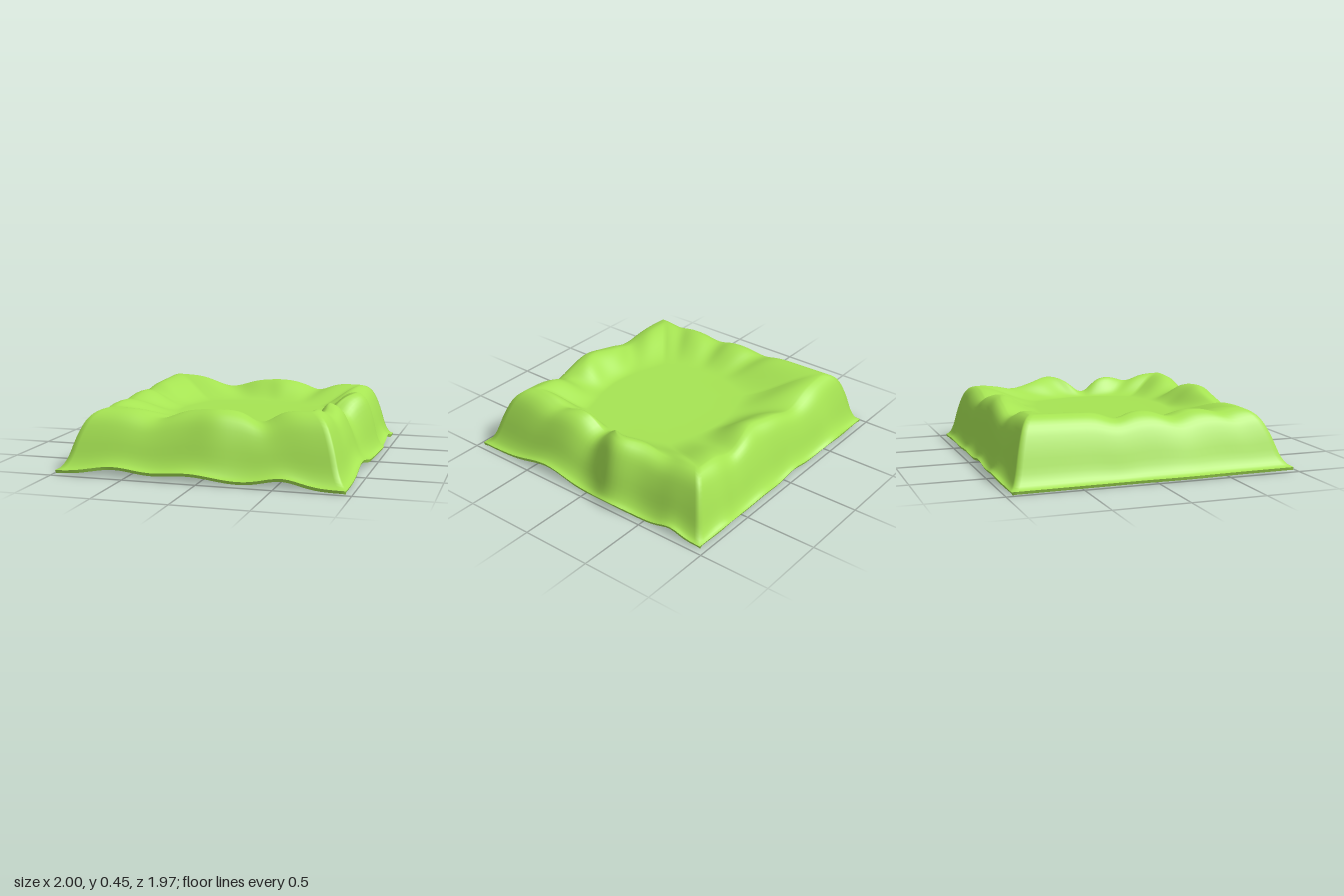
import * as THREE from 'three';

const THICK = 0.022, FLOOR = 0.31, SEGS = 48;
const v = (x, y, z) => new THREE.Vector3(x, y, z);

// Corners, anticlockwise seen from above: front left, front right, back right, back left
const corners = {
  hem: [v(-.98, .03, .97), v(.96, .022, .97), v(.955, .022, -.96), v(-.98, .022, -.96)],
  rim: [v(-.72, .41, .67), v(.69, .452, .67), v(.73, .415, -.77), v(-.72, .445, -.76)],
  floor: [v(-.32, FLOOR, .36), v(.5, FLOOR, .36), v(.5, FLOOR, -.36), v(-.32, FLOOR, -.36)],
};

// Swells and dips along each side: [position 0..1, rise, push outwards, width]
const hemWaves = [
  [[.2, .045, -.015, .12], [.47, .04, .012, .12], [.79, .045, -.02, .09]], // front
  [[.31, .058, -.005, .12], [.62, .038, .042, .08], [.88, .045, 0, .06]], // right
  [[.13, .025, .02, .06], [.36, .018, .01, .06], [.55, .023, 0, .06], [.8, .038, .03, .09]], // back
  [[.6, .003, .02, .12]], // left
];
const rimWaves = [
  [[.27, -.06, .03, .1], [.55, .012, .05, .09], [.76, -.075, .03, .08]],
  [[.18, -.045, .01, .07], [.437, -.098, -.02, .07], [.6, .018, .09, .08], [.82, -.04, 0, .1]],
  [[.22, -.055, 0, .08], [.41, .01, -.03, .07], [.7, -.07, .01, .12]],
  [[.38, -.04, .03, .07], [.65, -.04, .02, .07], [.9, -.03, .01, .06]],
];
const floorWaves = [[.5, 0, .1, .4]];
const outward = [v(0, 0, 1), v(1, 0, 0), v(0, 0, -1), v(-1, 0, 0)];

// A point on one side of an edge loop, with its waves fading out at the corners
function edgePoint(loop, side, t, waves) {
  const p = loop[side].clone().lerp(loop[(side + 1) % 4], t);
  const fade = 1 - (2 * t - 1) ** 6;
  for (const [at, rise, push, width] of waves) {
    const k = fade * Math.exp(-(((t - at) / width) ** 2));
    p.y += rise * k;
    p.addScaledVector(outward[side], push * k);
  }
  return p;
}

// Section of the wall: how far in (x) and how far up (y) from hem to rim
const wall = new THREE.SplineCurve([[0, 0], [.12, .05], [.25, .21], [.4, .53], [.58, .81], [.78, .95], [1, 1]]
  .map(([x, y]) => new THREE.Vector2(x, y))).getPoints(18);

// One radial column of points: hem, wall, rim, inner slope, flat middle
function column(side, t) {
  const hem = edgePoint(corners.hem, side, t, hemWaves[side]);
  const rim = edgePoint(corners.rim, side, t, rimWaves[side]);
  const floor = edgePoint(corners.floor, side, t, floorWaves);
  const points = wall.map(({ x, y }) => {
    const p = hem.clone().lerp(rim, x);
    p.y = THREE.MathUtils.lerp(hem.y, rim.y, y);
    return p;
  });
  for (let i = 1; i <= 12; i++) {
    const p = rim.clone().lerp(floor, i / 12);
    p.y = THREE.MathUtils.lerp(rim.y, FLOOR, THREE.MathUtils.smoothstep(i / 12, 0, 1));
    points.push(p);
  }
  const middle = v(.06, FLOOR, .015);
  for (const f of [.35, .7, 1]) points.push(floor.clone().lerp(middle, f));
  return points;
}

// Joins a closed ring of columns into a smooth surface
function skin(columns, flip = false) {
  const n = columns.length, m = columns[0].length, index = [];
  for (let i = 0; i < n; i++) {
    for (let j = 0; j < m - 1; j++) {
      const a = i * m + j, b = ((i + 1) % n) * m + j;
      if (flip) index.push(a, a + 1, b, b, a + 1, b + 1);
      else index.push(a, b, a + 1, b, b + 1, a + 1);
    }
  }
  const geometry = new THREE.BufferGeometry().setFromPoints(columns.flat());
  geometry.setIndex(index);
  geometry.computeVertexNormals();
  return geometry;
}

export function createModel() {
  const group = new THREE.Group();
  group.name = 'grassMound';
  const material = new THREE.MeshStandardMaterial({ color: 0xa6e453 });
  const add = (name, geometry) => {
    const mesh = new THREE.Mesh(geometry, material);
    mesh.name = name;
    group.add(mesh);
  };

  const top = [];
  for (let side = 0; side < 4; side++) {
    for (let i = 0; i < SEGS; i++) top.push(column(side, i / SEGS));
  }
  const topGeometry = skin(top);
  add('grassTop', topGeometry);

  // Underside: the top moved inwards along its normals
  const normals = topGeometry.attributes.normal, m = top[0].length;
  const under = top.map((points, i) => points.map((p, j) => {
    const normal = v(0, 0, 0).fromBufferAttribute(normals, i * m + j);
    const q = p.clone().addScaledVector(normal, -THICK);
    q.y = Math.max(q.y, 0);
    return q;
  }));
  add('grassUnderside', skin(under, true));

  // Thin band closing the hem
  add('hemEdge', skin(top.map((points, i) => [under[i][0], points[0]])));
  return group;
}
